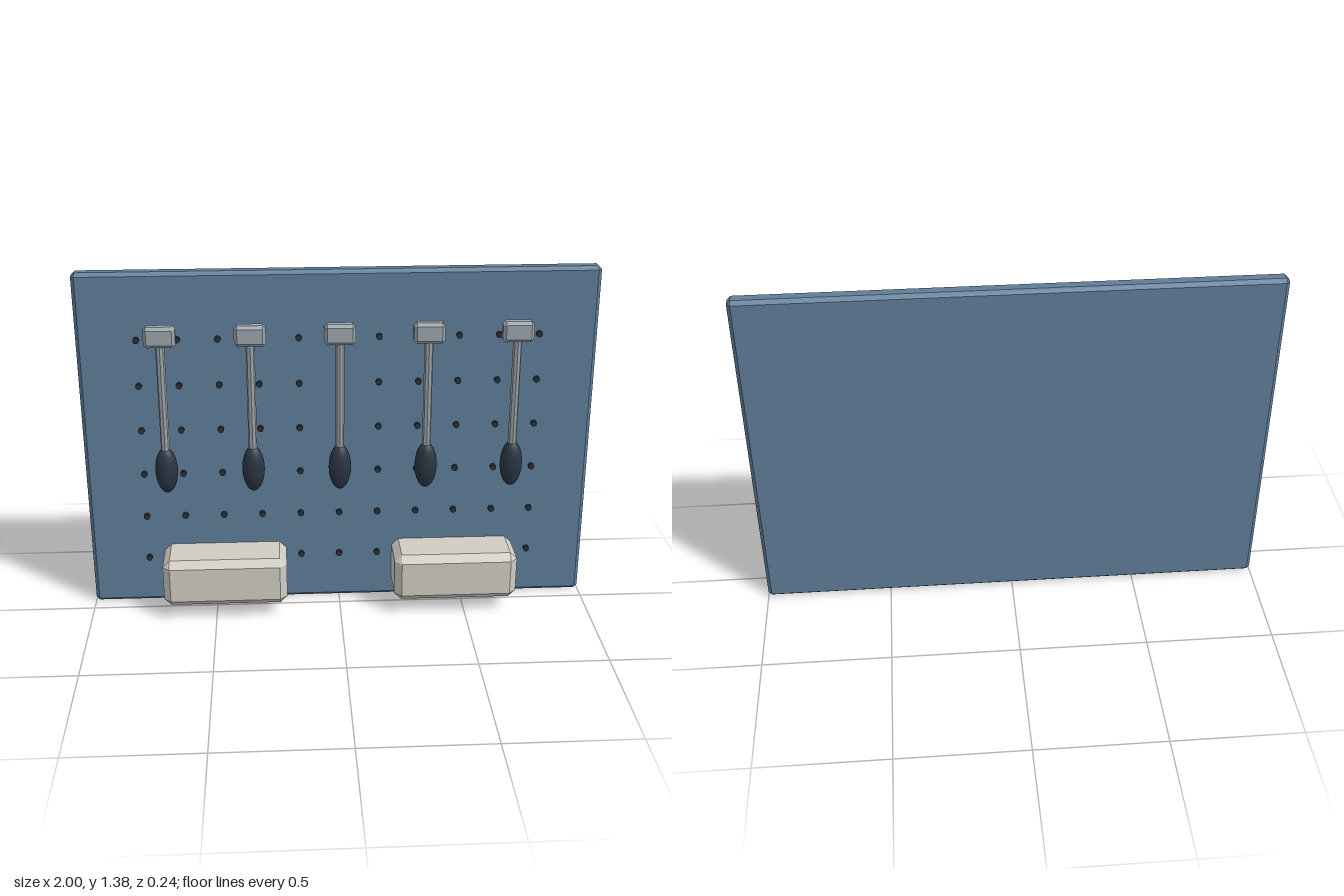
import * as THREE from 'three';
import { ConvexGeometry } from 'three/addons/geometries/ConvexGeometry.js';

const paint = (color, flatShading = false) => {
  const m = new THREE.MeshStandardMaterial({ color });
  m.flatShading = flatShading;
  return m;
};

// Box with all edges chamfered by c: three inset points at every corner
function chamferBox(w, h, d, c) {
  const pts = [];
  for (const sx of [-1, 1]) for (const sy of [-1, 1]) for (const sz of [-1, 1]) {
    const x = w / 2, y = h / 2, z = d / 2;
    pts.push(
      new THREE.Vector3(sx * x, sy * (y - c), sz * (z - c)),
      new THREE.Vector3(sx * (x - c), sy * y, sz * (z - c)),
      new THREE.Vector3(sx * (x - c), sy * (y - c), sz * z));
  }
  return new ConvexGeometry(pts);
}

function add(parent, name, geometry, material, x, y, z) {
  const mesh = new THREE.Mesh(geometry, material);
  mesh.name = name;
  mesh.position.set(x, y, z);
  parent.add(mesh);
  return mesh;
}

export function createModel() {
  const model = new THREE.Group();
  model.name = 'toolBoard';

  const blue = paint(0x5f7d9a, true);
  const steel = paint(0x9aa5ab, true);
  const rubber = paint(0x2a3442);
  const dark = paint(0x2a2f38, true);
  const cream = paint(0xd0ccc2, true);

  // Back panel
  add(model, 'board', chamferBox(2, 1.385, 0.062, 0.014), blue, 0, 0.6925, -0.087);

  // Grid of peg holes, shown as short dark studs
  const holes = new THREE.Group();
  holes.name = 'pegHoles';
  model.add(holes);
  const holeGeo = new THREE.CylinderGeometry(0.0125, 0.0125, 0.015, 8).rotateX(Math.PI / 2);
  for (let row = 0; row < 6; row++) for (let col = 0; col < 11; col++) {
    add(holes, 'pegHole', holeGeo, dark, (col - 5) * 0.154, 0.203 + row * 0.1846, -0.045);
  }

  // Row of hanging tools: head, shaft and oval grip
  const headGeo = chamferBox(0.12, 0.081, 0.05, 0.012);
  const shaftGeo = new THREE.CylinderGeometry(0.017, 0.017, 0.5, 8);
  const gripGeo = new THREE.SphereGeometry(1, 20, 14).scale(0.044, 0.095, 0.038);
  for (let i = -2; i <= 2; i++) {
    const tool = new THREE.Group();
    tool.name = 'tool';
    tool.position.set(i * 0.338, 0, 0.012);
    add(tool, 'toolHead', headGeo, steel, 0, 1.158, 0);
    add(tool, 'toolShaft', shaftGeo, steel, 0, 0.89, 0);
    add(tool, 'toolGrip', gripGeo, rubber, 0, 0.614, 0);
    model.add(tool);
  }

  // Storage bins, set into the lower edge of the panel
  const binGeo = chamferBox(0.492, 0.198, 0.212, 0.028);
  for (const side of [-1, 1]) {
    add(model, side > 0 ? 'leftBin' : 'rightBin', binGeo, cream, side * 0.461, 0.157, 0.014);
  }

  return model;
}
